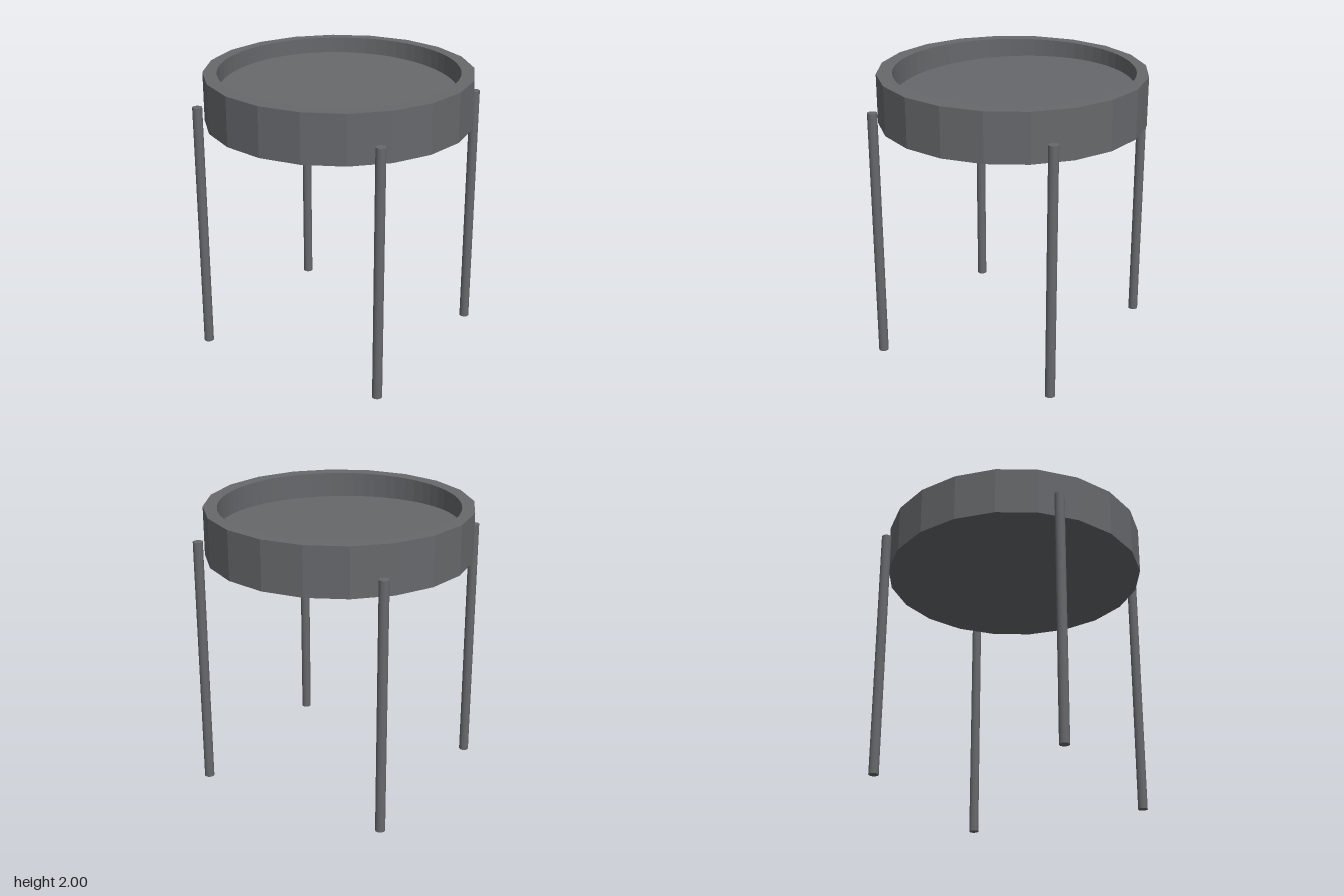
import * as THREE from 'three';

const TOP = 2, BOTTOM = 1.656;
const OUTER = 0.93, INNER = 0.833;
const OUTER_SIDES = 20, INNER_SIDES = 64;
const HOLE_Z = -0.012;
const LEG_HEIGHT = 1.795, LEG_RADIUS = 0.034;
const COLOR = 0x66686b;

// Corners of a regular polygon, in the plane of the tray
function polygon(radius, sides, cy = 0) {
  return Array.from({ length: sides }, (_, i) => {
    const a = (i / sides) * Math.PI * 2;
    return new THREE.Vector2(radius * Math.cos(a), cy + radius * Math.sin(a));
  });
}

export function createModel() {
  const model = new THREE.Group();
  model.name = 'trayTable';
  const faceted = new THREE.MeshStandardMaterial({ color: COLOR, flatShading: true });
  const smooth = new THREE.MeshStandardMaterial({ color: COLOR });

  function add(parent, name, geometry, material) {
    const mesh = new THREE.Mesh(geometry, material);
    mesh.name = name;
    parent.add(mesh);
    return mesh;
  }

  // Tray: faceted outer rim around a rounder recess
  const tray = new THREE.Group();
  tray.name = 'tray';
  model.add(tray);
  const outline = new THREE.Shape(polygon(OUTER, OUTER_SIDES));
  outline.holes.push(new THREE.Path(polygon(INNER, INNER_SIDES, -HOLE_Z)));
  const rim = new THREE.ExtrudeGeometry(outline, { depth: TOP - BOTTOM, bevelEnabled: false });
  rim.rotateX(-Math.PI / 2).translate(0, BOTTOM, 0);
  add(tray, 'rim', rim, faceted);

  // Recessed floor, sloping slightly down towards the front
  const floor = new THREE.CircleGeometry(INNER, INNER_SIDES);
  floor.rotateX(-Math.PI / 2).translate(0, 0, HOLE_Z);
  const p = floor.attributes.position;
  for (let i = 0; i < p.count; i++) {
    p.setY(i, 1.855 - 0.04 * p.getZ(i) - 0.01 * p.getX(i));
  }
  floor.computeVertexNormals();
  add(tray, 'trayFloor', floor, faceted);

  // Underside closing the tray
  const underside = new THREE.CircleGeometry(INNER, INNER_SIDES);
  underside.rotateX(Math.PI / 2).translate(0, BOTTOM, HOLE_Z);
  add(tray, 'underside', underside, faceted);

  // Four slim round legs just outside the rim
  const legGeometry = new THREE.CylinderGeometry(LEG_RADIUS, LEG_RADIUS, LEG_HEIGHT, 32);
  const legs = [
    ['frontLeg', 0.206, 0.965],
    ['leftLeg', 0.966, -0.138],
    ['backLeg', -0.207, -0.966],
    ['rightLeg', -0.966, 0.138],
  ];
  for (const [name, x, z] of legs) {
    add(model, name, legGeometry, smooth).position.set(x, LEG_HEIGHT / 2, z);
  }
  return model;
}
